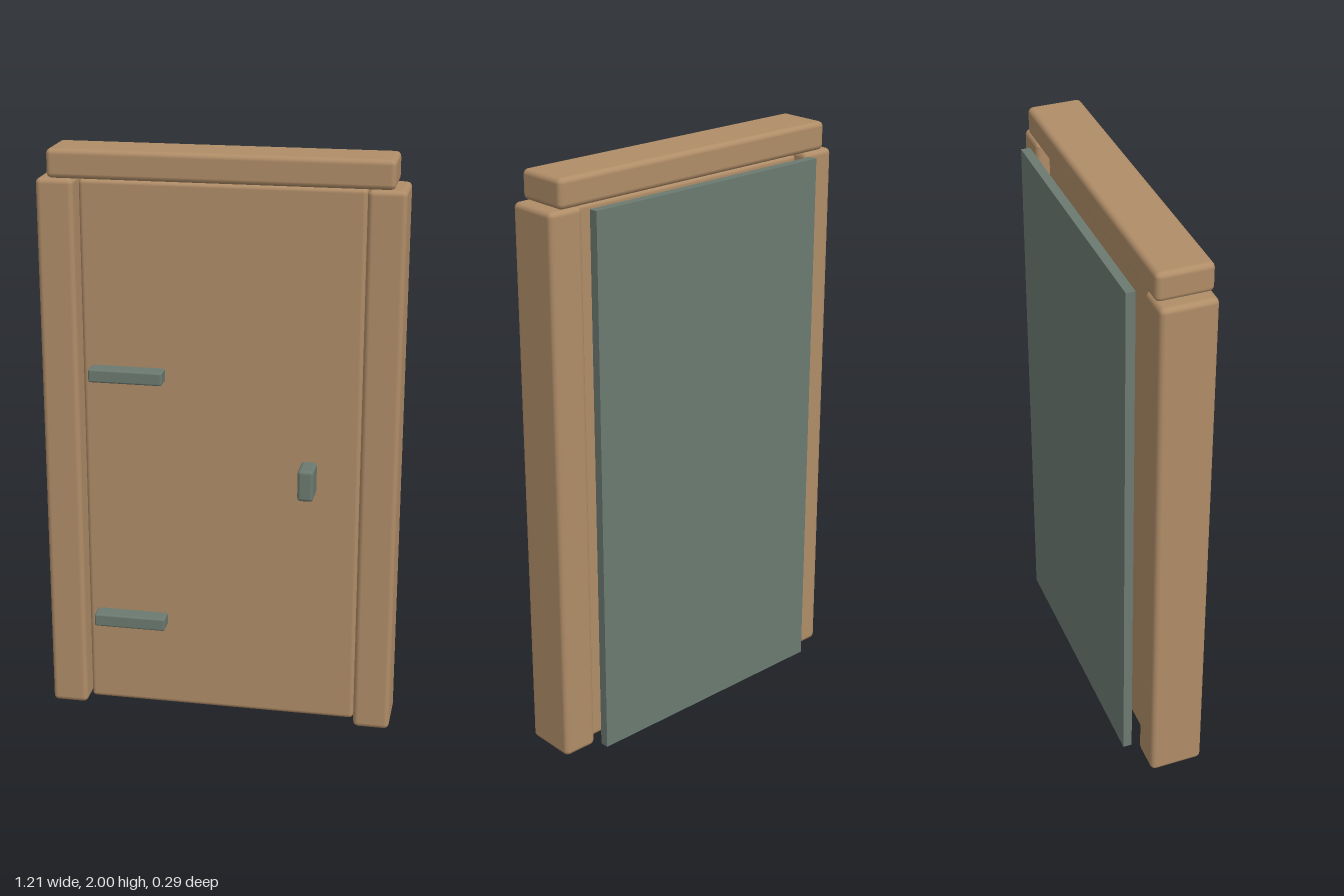
import * as THREE from 'three';
import { RoundedBoxGeometry } from 'three/addons/geometries/RoundedBoxGeometry.js';

const wood = new THREE.MeshStandardMaterial({ color: 0xb08d68 });
wood.name = 'wood';
const metal = new THREE.MeshStandardMaterial({ color: 0x6b7a70 });
metal.name = 'grey green metal';

// Box given by its [min, max] extent on each axis; radius 0 keeps sharp edges
function block(name, material, [x0, x1], [y0, y1], [z0, z1], radius) {
  const size = [x1 - x0, y1 - y0, z1 - z0];
  const geometry = radius
    ? new RoundedBoxGeometry(...size, 2, radius)
    : new THREE.BoxGeometry(...size);
  const mesh = new THREE.Mesh(geometry, material);
  mesh.name = name;
  mesh.position.set((x0 + x1) / 2, (y0 + y1) / 2, (z0 + z1) / 2);
  return mesh;
}

export function createModel() {
  const door = new THREE.Group();
  door.name = 'door';
  const frameDepth = [-0.092, 0.094];

  // Frame: two posts and the lintel resting on them
  door.add(
    block('leftPost', wood, [0.48, 0.606], [0, 1.903], frameDepth, 0.018),
    block('rightPost', wood, [-0.606, -0.48], [0, 1.903], frameDepth, 0.018),
    block('lintel', wood, [-0.568, 0.568], [1.903, 2], frameDepth, 0.018)
  );

  // Recessed door leaf
  door.add(block('doorLeaf', wood, [-0.475, 0.475], [0.003, 1.895], [-0.053, 0.042], 0.015));

  // Strap hinges
  for (const [name, y] of [['lowerHinge', 0.337], ['upperHinge', 1.241]]) {
    door.add(block(name, metal, [-0.443, -0.19], [y - 0.023, y + 0.023], [0.038, 0.102], 0.007));
  }

  // Handle
  door.add(block('handle', metal, [0.277, 0.331], [0.855, 0.964], [0.038, 0.142], 0.012));

  // Plain panel standing just behind the frame
  door.add(block('backPanel', metal, [-0.474, 0.474], [0.012, 1.898], [-0.147, -0.116], 0));

  // Centre the whole depth on z = 0 while keeping the frame in place
  return door;
}
